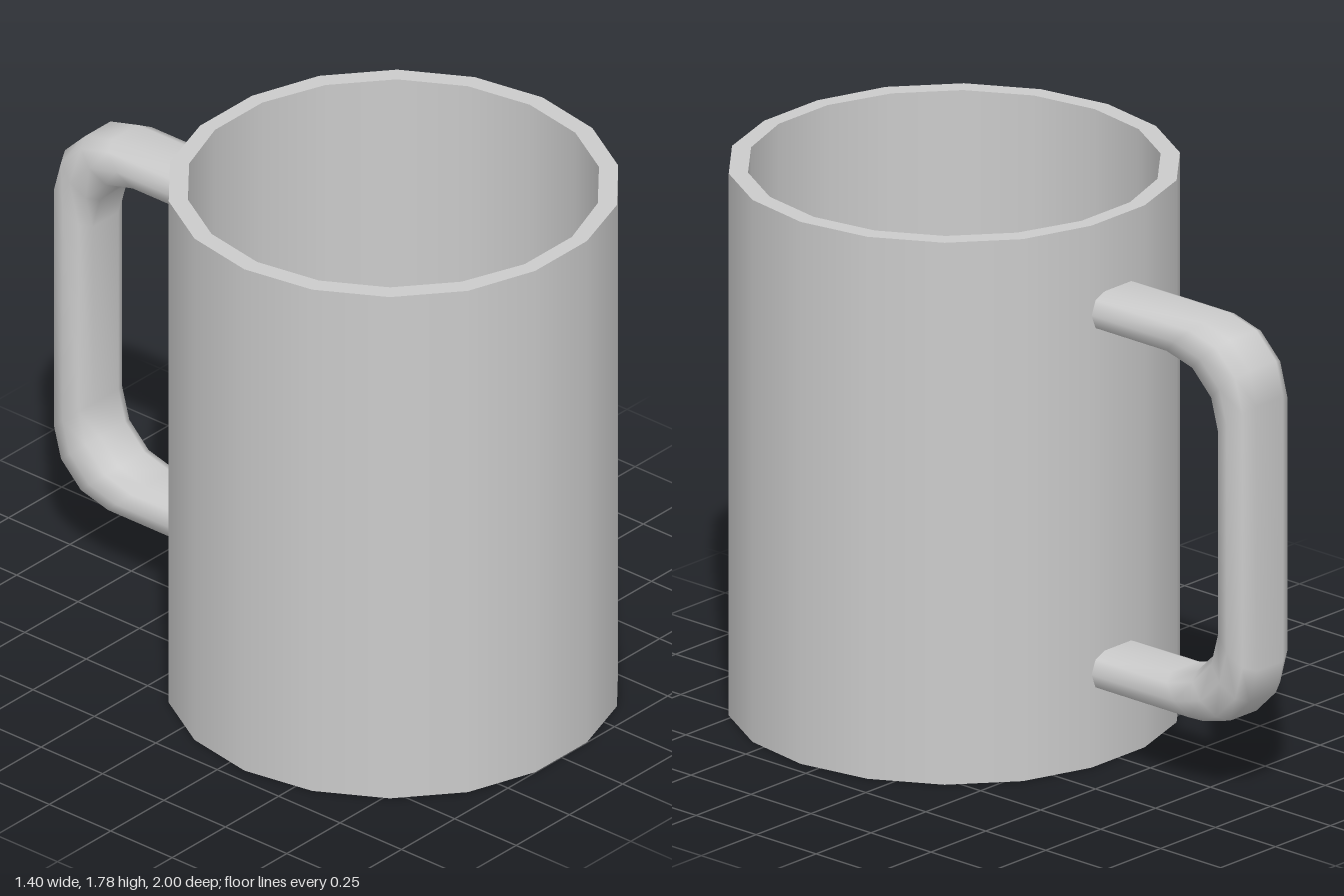
import * as THREE from 'three';

const material = new THREE.MeshStandardMaterial({ color: 0xcccccc });
const SIDES = 18, R = 0.7, INNER = 0.64, HEIGHT = 1.78, FLOOR = 0.06;
const CENTER_Z = 0.317, HALF_DEPTH = 0.682, HANDLE_Y = 0.894;

// One smooth band of the cup, so the rims between bands stay sharp
function band(name, r0, y0, r1, y1) {
  const points = [new THREE.Vector2(r0, y0), new THREE.Vector2(r1, y1)];
  const geometry = new THREE.LatheGeometry(points, SIDES, Math.PI / 2);
  const pos = geometry.attributes.position;
  // The front and back facets are slightly flattened
  for (let i = 0; i < pos.count; i++) {
    pos.setZ(i, THREE.MathUtils.clamp(pos.getZ(i), -HALF_DEPTH, HALF_DEPTH));
  }
  const mesh = new THREE.Mesh(geometry, material);
  mesh.name = name;
  return mesh;
}

// Stations of the handle: [z, y] on the outer edge and on the inner edge
function handleStations() {
  const half = [[-0.34, 1.548, -0.34, 1.42]];
  for (let i = 0; i <= 3; i++) {
    const a = (i / 3) * Math.PI / 2, s = Math.sin(a), c = Math.cos(a);
    half.push([-0.776 - 0.222 * s, 1.328 + 0.22 * c, -0.641 - 0.214 * s, 1.208 + 0.212 * c]);
  }
  const mirrored = half.map(([zo, yo, zi, yi]) => [zo, 2 * HANDLE_Y - yo, zi, 2 * HANDLE_Y - yi]);
  return [...half, ...mirrored.reverse()];
}

// Rounded flat section swept between the outer and inner edges
function handleGeometry() {
  const section = [];
  for (const side of [1, -1]) {
    for (let i = 0; i <= 4; i++) {
      const a = (i / 4) * Math.PI;
      section.push([side * (0.06 + 0.06 * Math.sin(a)), side * Math.cos(a)]);
    }
  }
  const stations = handleStations(), n = section.length;
  const positions = [], index = [];
  stations.forEach(([zo, yo, zi, yi], s) => {
    section.forEach(([x, v], k) => {
      const t = (1 - v) / 2;
      positions.push(x, yo + (yi - yo) * t, zo + (zi - zo) * t);
      if (s === 0) return;
      const k2 = (k + 1) % n, p = (s - 1) * n, q = s * n;
      index.push(p + k, p + k2, q + k, p + k2, q + k2, q + k);
    });
  });
  const geometry = new THREE.BufferGeometry();
  geometry.setAttribute('position', new THREE.Float32BufferAttribute(positions, 3));
  geometry.setIndex(index);
  geometry.computeVertexNormals();
  return geometry;
}

export function createModel() {
  const model = new THREE.Group();
  model.name = 'mug';

  const cup = new THREE.Group();
  cup.name = 'cup';
  cup.position.z = CENTER_Z;
  cup.add(
    band('base', 0, 0, R, 0),
    band('outerWall', R, 0, R, HEIGHT),
    band('rim', R, HEIGHT, INNER, HEIGHT),
    band('innerWall', INNER, HEIGHT, INNER, FLOOR),
    band('floor', INNER, FLOOR, 0, FLOOR),
  );

  const handle = new THREE.Mesh(handleGeometry(), material);
  handle.name = 'handle';

  model.add(cup, handle);
  return model;
}
